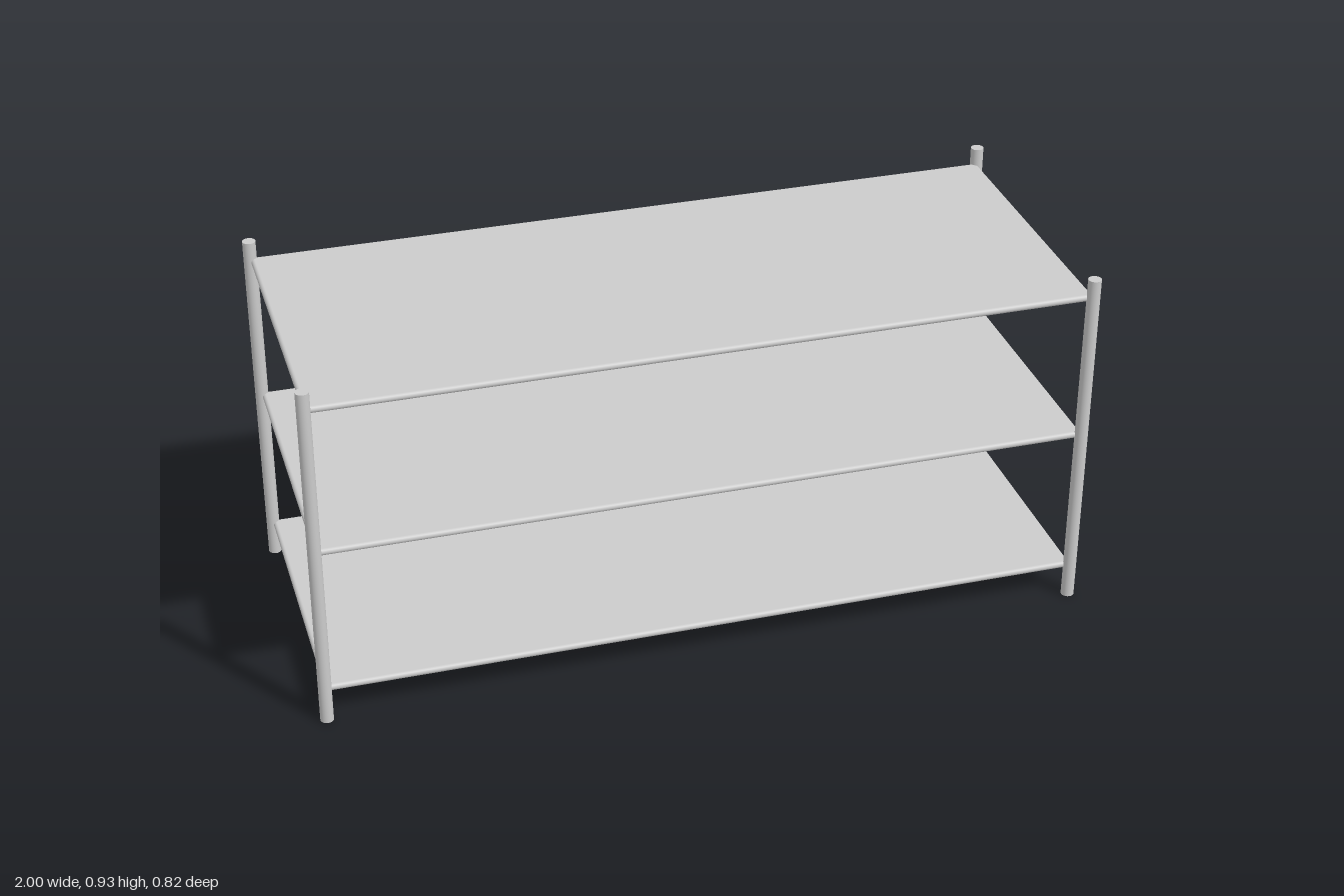
import * as THREE from 'three';

const POST_X = 0.983, POST_Z = 0.391, POST_R = 0.017, HEIGHT = 0.933;
const RAIL_R = 0.009;
const SHELF_LEVELS = { bottomShelf: 0.089, middleShelf: 0.485, topShelf: 0.879 };

export function createModel() {
  const group = new THREE.Group();
  const material = new THREE.MeshStandardMaterial({ color: 0xcccccc });

  const add = (parent, name, geometry, x, y, z) => {
    const mesh = new THREE.Mesh(geometry, material);
    mesh.name = name;
    mesh.position.set(x, y, z);
    parent.add(mesh);
    return mesh;
  };

  // Four round corner posts
  const postGeometry = new THREE.CylinderGeometry(POST_R, POST_R, HEIGHT, 20);
  for (const [zName, sz] of [['front', 1], ['back', -1]]) {
    for (const [xName, sx] of [['Left', 1], ['Right', -1]]) {
      add(group, `${zName}${xName}Post`, postGeometry, sx * POST_X, HEIGHT / 2, sz * POST_Z);
    }
  }

  // Shelves: flat panel with round rails flush along its edges
  const railX = POST_X - RAIL_R, railZ = POST_Z - RAIL_R;
  const panelGeometry = new THREE.BoxGeometry(2 * railX, 2 * RAIL_R, 2 * railZ);
  const longRail = new THREE.CylinderGeometry(RAIL_R, RAIL_R, 2 * railX, 16).rotateZ(Math.PI / 2);
  const shortRail = new THREE.CylinderGeometry(RAIL_R, RAIL_R, 2 * railZ, 16).rotateX(Math.PI / 2);
  for (const [name, y] of Object.entries(SHELF_LEVELS)) {
    const shelf = new THREE.Group();
    shelf.name = name;
    shelf.position.y = y;
    add(shelf, 'panel', panelGeometry, 0, 0, 0);
    add(shelf, 'frontRail', longRail, 0, 0, railZ);
    add(shelf, 'backRail', longRail, 0, 0, -railZ);
    add(shelf, 'leftRail', shortRail, railX, 0, 0);
    add(shelf, 'rightRail', shortRail, -railX, 0, 0);
    group.add(shelf);
  }
  return group;
}
